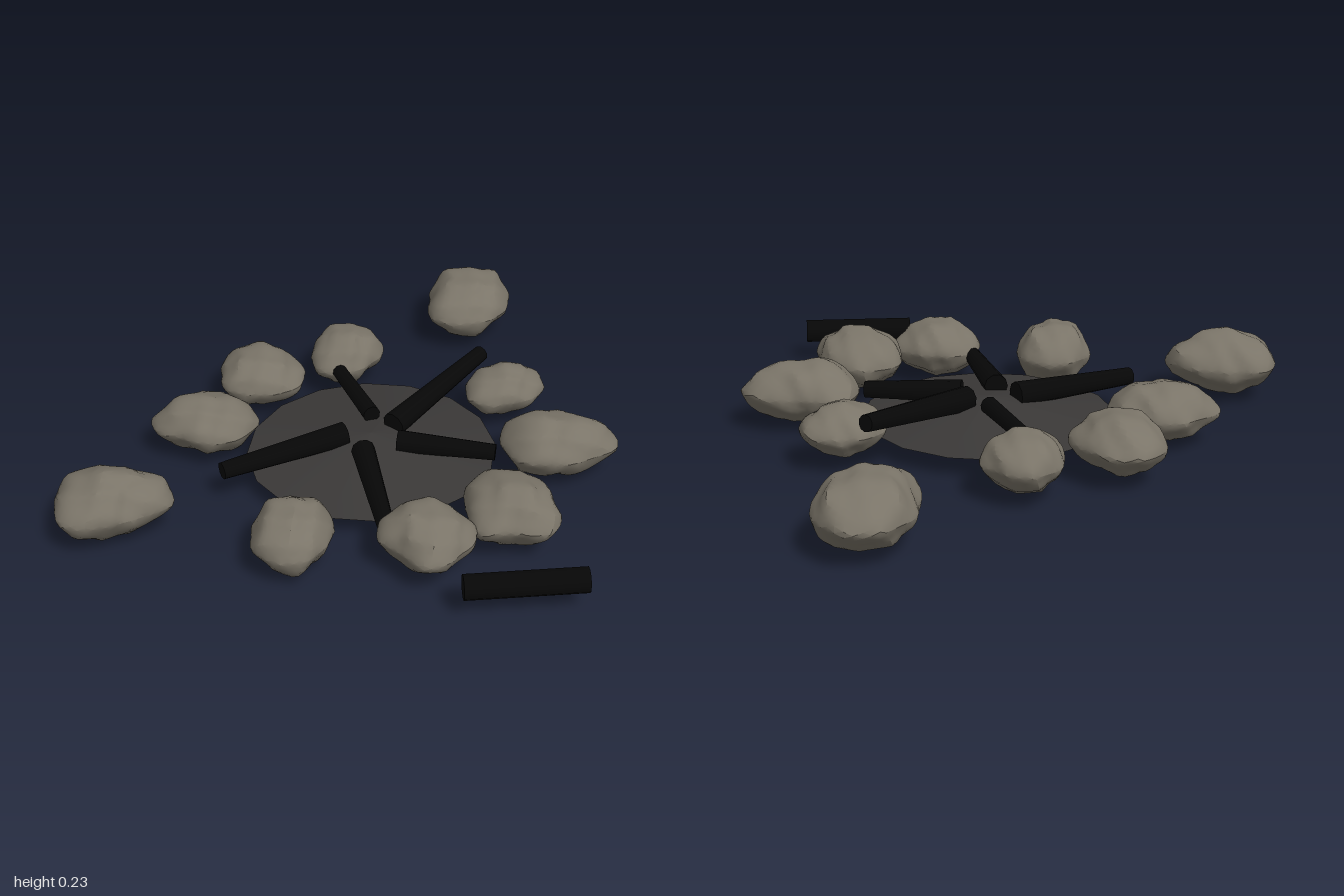
import * as THREE from 'three';
import { mergeVertices, toCreasedNormals } from 'three/addons/utils/BufferGeometryUtils.js';

const mat = (color) => new THREE.MeshStandardMaterial({ color, roughness: 1 });

// Stones: centre x, z; bottom and top height; plan radius every 45 degrees from +x towards +z
const STONES = [
  { c: [-0.463, -0.815], y: [0.015, 0.217], r: [0.155, 0.175, 0.18, 0.135, 0.15, 0.18, 0.185, 0.15] },
  { c: [-0.005, -0.435], y: [0.03, 0.2], r: [0.105, 0.1, 0.13, 0.125, 0.115, 0.11, 0.13, 0.135] },
  { c: [0.305, -0.27], y: [0.025, 0.22], r: [0.15, 0.125, 0.145, 0.145, 0.165, 0.125, 0.145, 0.22] },
  { c: [-0.555, -0.28], y: [0.025, 0.2], r: [0.115, 0.14, 0.14, 0.115, 0.12, 0.135, 0.13, 0.13] },
  { c: [-0.67, 0.015], y: [0.02, 0.205], r: [0.15, 0.13, 0.14, 0.125, 0.15, 0.165, 0.14, 0.15] },
  { c: [-0.6, 0.317], y: [0.02, 0.2], r: [0.15, 0.13, 0.125, 0.175, 0.14, 0.135, 0.14, 0.165] },
  { c: [0.42, 0.08], y: [0.02, 0.215], r: [0.17, 0.135, 0.15, 0.13, 0.16, 0.17, 0.15, 0.14] },
  { c: [0.31, 0.335], y: [0.02, 0.205], r: [0.145, 0.16, 0.12, 0.14, 0.14, 0.13, 0.13, 0.15] },
  { c: [0.002, 0.567], y: [0, 0.205], r: [0.125, 0.155, 0.14, 0.12, 0.125, 0.135, 0.145, 0.125] },
  { c: [-0.5, 0.825], y: [0.01, 0.23], r: [0.125, 0.13, 0.165, 0.155, 0.17, 0.14, 0.155, 0.2] },
];

// Sticks: inner end, outer end, inner radius, outer radius
const STICKS = [
  [[-0.125, 0.125, -0.03], [-0.137, 0.175, -0.485], 0.04, 0.026],
  [[-0.215, 0.125, -0.03], [-0.475, 0.12, -0.165], 0.028, 0.024],
  [[-0.21, 0.122, 0.105], [-0.36, 0.118, 0.49], 0.04, 0.027],
  [[-0.11, 0.12, 0.13], [0.195, 0.1, 0.37], 0.037, 0.026],
  [[-0.06, 0.12, 0.025], [0.2, 0.108, -0.135], 0.036, 0.026],
];

// Smooth closed interpolation between the eight plan radii
function planRadius(r, angle) {
  const t = (((angle / (Math.PI / 4)) % 8) + 8) % 8;
  const i = Math.floor(t), f = t - i;
  const [a, b, c, d] = [-1, 0, 1, 2].map((k) => r[(i + k + 8) % 8]);
  return b + 0.5 * f * (c - a + f * (2 * a - 5 * b + 4 * c - d + f * (3 * (b - c) + d - a)));
}

function stone({ c, y: [low, high], r }, seed) {
  let geo = new THREE.IcosahedronGeometry(1, 7);
  geo.deleteAttribute('uv');
  geo.deleteAttribute('normal');
  geo = mergeVertices(geo, 1e-4);
  const p = geo.attributes.position, v = new THREE.Vector3();
  const wave = (a, b, d, s) => Math.sin(a * v.x + b * v.y + d * v.z + s + seed * 2.3);
  for (let i = 0; i < p.count; i++) {
    v.fromBufferAttribute(p, i);
    // Rounded lumps plus folded waves for ridges and dents
    const bump = 0.03 * wave(4, 3, -2, 0) + 0.03 * wave(-3, 4, 5, 1)
      + 0.07 * (0.6 - Math.abs(wave(2.5, -3, 3.5, 2))) + 0.06 * (0.6 - Math.abs(wave(-4, 2, 4, 3)));
    const k = 1 + bump * (0.5 + 0.5 * Math.abs(v.y));
    // Slight pinch above and below the middle gives a lens-like side profile
    const pinch = 1 - 0.16 * Math.abs(v.y) * Math.hypot(v.x, v.z);
    const rad = planRadius(r, Math.atan2(v.z, v.x)) * k * pinch;
    p.setXYZ(i, v.x * rad, v.y * k, v.z * rad);
  }
  // Fit to the stated height
  const box = new THREE.Box3().setFromBufferAttribute(p);
  const s = (high - low) / (box.max.y - box.min.y);
  geo.translate(0, -box.min.y, 0).scale(1, s, 1).translate(c[0], low, c[1]);
  return toCreasedNormals(geo, 0.5);
}

function stick(from, to, r0, r1) {
  const a = new THREE.Vector3(...from), b = new THREE.Vector3(...to);
  const dir = b.clone().sub(a);
  const geo = new THREE.CylinderGeometry(r1, r0, dir.length(), 10);
  const m = new THREE.Mesh(geo, mat(0x070707));
  m.position.copy(a).add(b).multiplyScalar(0.5);
  m.quaternion.setFromUnitVectors(new THREE.Vector3(0, 1, 0), dir.normalize());
  return m;
}

export function createModel() {
  const group = new THREE.Group();
  const add = (mesh, name) => {
    mesh.name = name;
    group.add(mesh);
  };

  // Low ash mound, flat underneath
  const ash = new THREE.ConeGeometry(0.39, 0.06, 16);
  ash.translate(-0.152, 0.092, 0.045);
  add(new THREE.Mesh(ash, mat(0x3a3837)), 'ashBed');

  // Charred sticks pointing to the middle, and one loose outside the ring
  STICKS.forEach((s, i) => add(stick(...s), `charredStick${i + 1}`));
  add(stick([0.538, 0.1, 0.442], [0.785, 0.1, 0.187], 0.038, 0.038), 'looseStick');

  // Ring of stones with two strays
  const stoneMat = mat(0x7a7468);
  STONES.forEach((s, i) => add(new THREE.Mesh(stone(s, i + 1), stoneMat), `stone${i + 1}`));
  return group;
}
